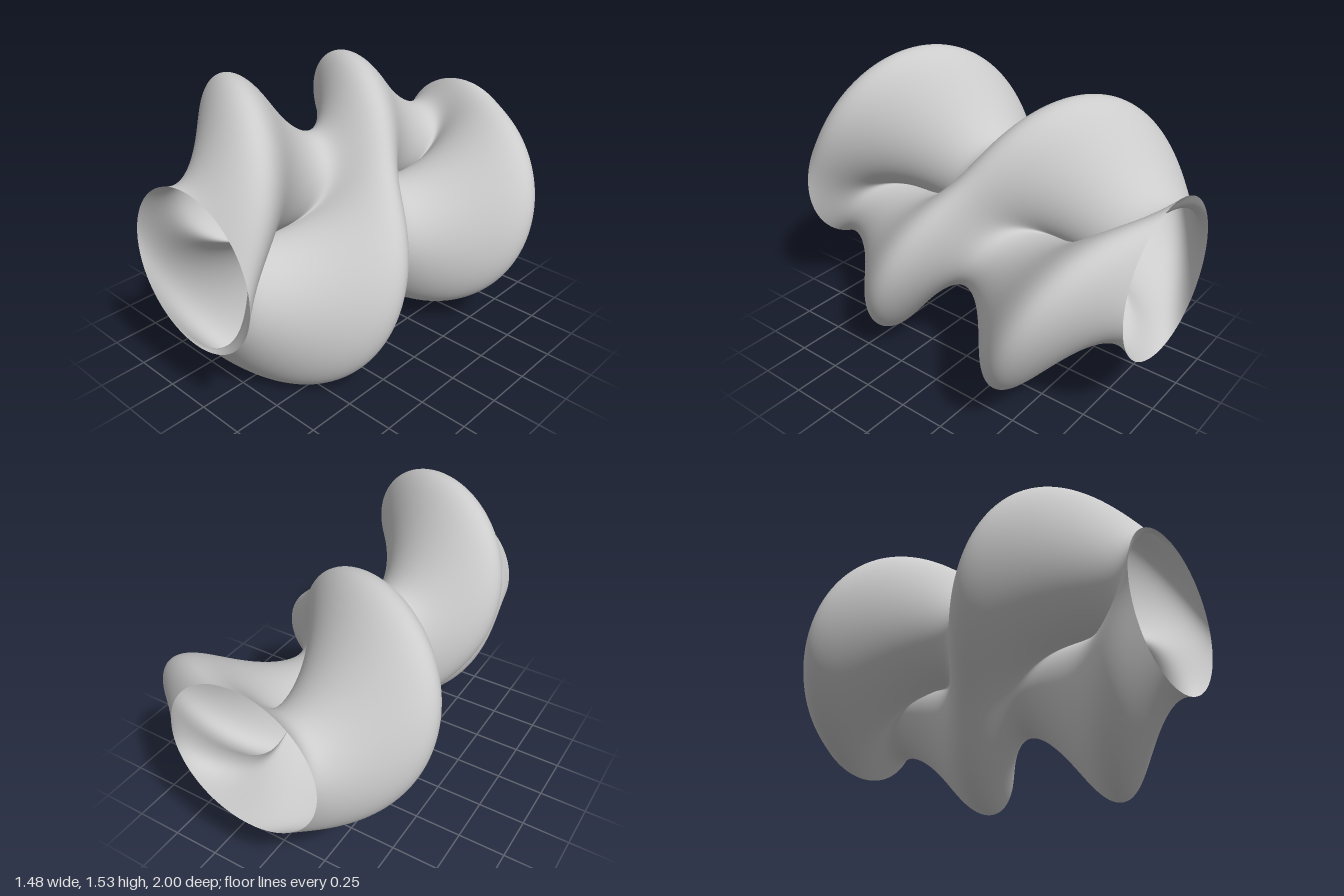
import * as THREE from 'three';

const RADIUS = 0.4;      // circular openings and mean radius
const SWELL = 0.395;     // depth of the two-lobed wave
const TWIST = 4.25;      // phase change of the wave per unit of z
const PHASE = 0.15;
const CENTRE_Y = 0.772;
const RINGS = 180, SIDES = 192;

// Radius of the tube wall at angle a and depth z
function wallRadius(a, z) {
  return RADIUS + SWELL * Math.sin(Math.PI * z) * Math.cos(2 * a + TWIST * z + PHASE);
}

// Closed rings stacked along z, joined into an open-ended tube
function twistedTube() {
  const positions = [], indices = [];
  for (let i = 0; i <= RINGS; i++) {
    const z = -1 + (2 * i) / RINGS;
    for (let j = 0; j < SIDES; j++) {
      const a = (j / SIDES) * Math.PI * 2;
      const r = wallRadius(a, z);
      positions.push(r * Math.cos(a), CENTRE_Y + r * Math.sin(a), z);
    }
  }
  for (let i = 0; i < RINGS; i++) {
    for (let j = 0; j < SIDES; j++) {
      const k = (j + 1) % SIDES;
      const a = i * SIDES + j, b = i * SIDES + k;
      const c = a + SIDES, d = b + SIDES;
      indices.push(a, b, c, b, d, c);
    }
  }
  const geometry = new THREE.BufferGeometry();
  geometry.setAttribute('position', new THREE.Float32BufferAttribute(positions, 3));
  geometry.setIndex(indices);
  geometry.computeVertexNormals();
  return geometry;
}

export function createModel() {
  const group = new THREE.Group();
  group.name = 'twistedTubeSculpture';
  const material = new THREE.MeshStandardMaterial({ color: 0xcccccc, side: THREE.DoubleSide });
  const tube = new THREE.Mesh(twistedTube(), material);
  tube.name = 'twistedTube';
  group.add(tube);
  return group;
}
